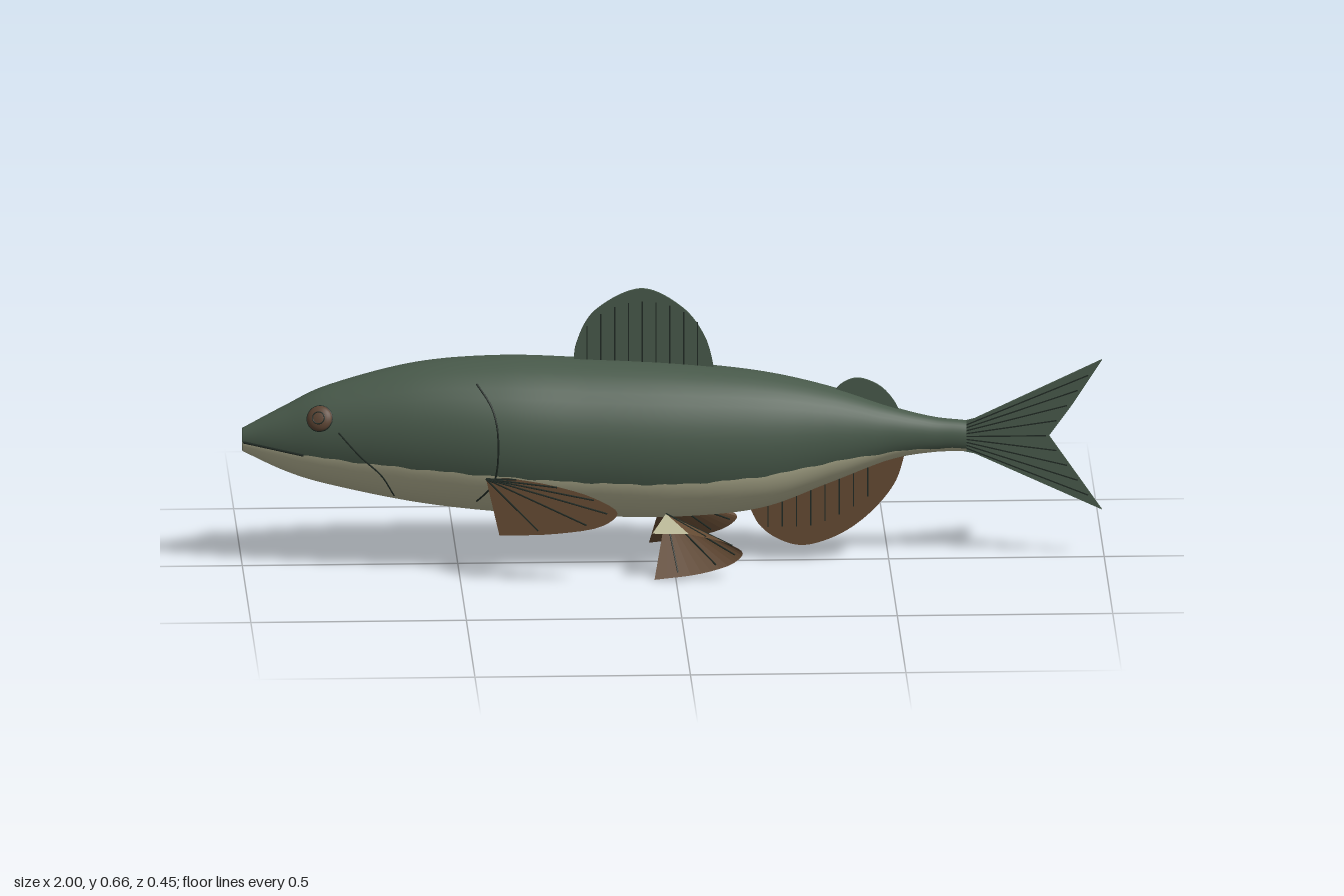
import * as THREE from 'three';

const mat = (name, color, side = THREE.FrontSide) => {
  const m = new THREE.MeshStandardMaterial({ color, side });
  m.name = name;
  return m;
};

const V = (x, y, z = 0) => new THREE.Vector3(x, y, z);

// Body stations: x, top, bottom, half width, height of the colour seam
const STATIONS = [
  [-1.0, 0.335, 0.28, 0.02, 0.308], [-0.9, 0.388, 0.232, 0.055, 0.292],
  [-0.8, 0.435, 0.2, 0.085, 0.28], [-0.6, 0.486, 0.157, 0.13, 0.265],
  [-0.4, 0.5, 0.132, 0.156, 0.25], [-0.2, 0.492, 0.12, 0.155, 0.233],
  [0.0, 0.48, 0.115, 0.146, 0.225], [0.2, 0.457, 0.133, 0.122, 0.236],
  [0.36, 0.42, 0.19, 0.085, 0.258], [0.5, 0.372, 0.243, 0.047, 0.27],
  [0.6, 0.345, 0.26, 0.03, 0.274], [0.68, 0.335, 0.262, 0.025, 0.272],
];
const heights = new THREE.CatmullRomCurve3(STATIONS.map(s => V(s[0], s[1], s[2])), false, 'catmullrom');
const widths = new THREE.CatmullRomCurve3(STATIONS.map(s => V(s[0], s[3], s[4])), false, 'catmullrom');

// Cross-section at a given x
function section(x) {
  let lo = 0, hi = 1;
  for (let k = 0; k < 30; k++) {
    const mid = (lo + hi) / 2;
    if (heights.getPoint(mid).x < x) lo = mid; else hi = mid;
  }
  const h = heights.getPoint(lo), w = widths.getPoint(lo);
  return { cy: (h.y + h.z) / 2, ry: (h.y - h.z) / 2, w: w.y, seam: w.z };
}

// Point on the flank
function onFlank(x, y, side) {
  const s = section(x), v = (y - s.cy) / s.ry;
  return V(x, y, side * s.w * Math.sqrt(Math.max(0, 1 - v * v)));
}

// One smooth skin, split along the seam into back and belly groups
function bodyGeometry() {
  const rings = 100, half = 26, n = half * 2, pos = [], idx = [];
  for (let i = 0; i <= rings; i++) {
    const x = -1 + 1.68 * i / rings, s = section(x);
    const ripple = 0.0025 * Math.sin(x * 70) * Math.sin(x * 23);
    const a = Math.asin(THREE.MathUtils.clamp((s.seam + ripple - s.cy) / s.ry, -0.95, 0.95));
    for (let j = 0; j < n; j++) {
      const t = j < half
        ? a + (Math.PI - 2 * a) * j / half
        : Math.PI - a + (Math.PI + 2 * a) * (j - half) / half;
      pos.push(x, s.cy + s.ry * Math.sin(t), s.w * Math.cos(t));
    }
  }
  for (const start of [0, half])
    for (let i = 0; i < rings; i++)
      for (let j = start; j < start + half; j++) {
        const a = i * n + j, b = i * n + (j + 1) % n;
        idx.push(a, a + n, b, b, a + n, b + n);
      }
  const g = new THREE.BufferGeometry();
  g.setAttribute('position', new THREE.Float32BufferAttribute(pos, 3));
  g.setIndex(idx);
  g.computeVertexNormals();
  g.addGroup(0, idx.length / 2, 0);
  g.addGroup(idx.length / 2, idx.length / 2, 1);
  return g;
}

// Flat fan of triangles from an apex to a rim
function fanGeometry(apex, rim) {
  const pos = [];
  for (let i = 0; i < rim.length - 1; i++)
    for (const p of [apex, rim[i], rim[i + 1]]) pos.push(p.x, p.y, p.z);
  const g = new THREE.BufferGeometry();
  g.setAttribute('position', new THREE.Float32BufferAttribute(pos, 3));
  g.computeVertexNormals();
  return g;
}

// Smooth open outline closed by a straight base, extruded thin
function medianFin(points) {
  const shape = new THREE.Shape();
  shape.moveTo(...points[0]);
  shape.splineThru(points.slice(1).map(p => new THREE.Vector2(...p)));
  shape.closePath();
  const g = new THREE.ExtrudeGeometry(shape, { depth: 0.007, bevelEnabled: false, curveSegments: 32 });
  return g.translate(0, 0, -0.0035);
}

export function createModel() {
  const green = mat('back green', 0x48594a);
  const cream = mat('belly cream', 0xb9b797, THREE.DoubleSide);
  const brown = mat('fin brown', 0x644a33, THREE.DoubleSide);
  const dark = mat('line dark', 0x202a24);
  const iris = mat('eye brown', 0x5c4433);

  const root = new THREE.Group();
  root.name = 'fish';
  const add = (name, geo, material, parent = root) => {
    const m = new THREE.Mesh(geo, material);
    m.name = name;
    parent.add(m);
    return m;
  };
  const line = (name, pts, r, parent = root) =>
    add(name, new THREE.TubeGeometry(new THREE.CatmullRomCurve3(pts), pts.length > 2 ? 24 : 1, r, 5), dark, parent);

  // Body and its end caps
  add('body', bodyGeometry(), [green, cream]);
  for (const [name, x, dir] of [['noseCap', -1, -1], ['tailStubCap', 0.68, 1]]) {
    const s = section(x);
    const cap = new THREE.CircleGeometry(1, 32).scale(s.w, s.ry, 1).rotateY(dir * Math.PI / 2);
    add(name, cap.translate(x, s.cy, 0), dir > 0 ? cream : green);
  }

  // Fins on the centre line
  add('dorsalFin', medianFin([[-0.23, 0.46], [-0.225, 0.53], [-0.18, 0.61], [-0.075, 0.66],
    [0.02, 0.615], [0.075, 0.54], [0.098, 0.45]]), green);
  add('adiposeFin', medianFin([[0.36, 0.39], [0.39, 0.426], [0.43, 0.44], [0.48, 0.42],
    [0.515, 0.38], [0.53, 0.34]]), green);
  add('analFin', medianFin([[0.17, 0.15], [0.2, 0.09], [0.25, 0.053], [0.31, 0.041], [0.39, 0.068],
    [0.46, 0.12], [0.515, 0.19], [0.54, 0.27]]), brown);
  const tail = new THREE.Shape([[0.66, 0.33], [0.7, 0.34], [0.995, 0.478], [0.925, 0.37], [0.872, 0.297],
    [0.925, 0.22], [0.995, 0.118], [0.7, 0.256], [0.66, 0.265]].map(p => new THREE.Vector2(...p)));
  add('tailFin', new THREE.ExtrudeGeometry(tail, { depth: 0.007, bevelEnabled: false }).translate(0, 0, -0.0035), green);

  // Fin rays, shown on both faces
  const ray = (name, x0, y0, x1, y1) => {
    const len = Math.hypot(x1 - x0, y1 - y0);
    const g = new THREE.BoxGeometry(len, 0.003, 0.0085).rotateZ(Math.atan2(y1 - y0, x1 - x0));
    add(name, g.translate((x0 + x1) / 2, (y0 + y1) / 2, 0), dark);
  };
  for (let i = 0; i < 9; i++) {
    const x = -0.2 + i * 0.032, u = (x + 0.07) / 0.165;
    ray('dorsalRay', x, 0.47, x, 0.48 + 0.15 * Math.sqrt(Math.max(0, 1 - u * u)));
  }
  for (let i = 0; i < 8; i++) {
    const x = 0.22 + i * 0.033;
    ray('analRay', x, 0.24, x, 0.085 + 1.6 * Math.max(0, x - 0.3) ** 1.65);
  }
  for (let i = -4; i <= 4; i++) {
    const u = Math.abs(i) / 4.5;
    ray('tailRay', 0.68, 0.297 + i * 0.007, 0.865 + 0.11 * u, 0.297 + i * 0.036);
  }

  // Paired parts
  for (const side of [1, -1]) {
    const pair = new THREE.Group();
    pair.name = side > 0 ? 'leftSide' : 'rightSide';
    root.add(pair);

    // Pectoral fin: a fan leaning out from the flank
    const lean = (x, y) => V(x, y, side * (0.145 + 0.245 * (x + 0.43) + 0.16 * (0.24 - y)));
    const rim = new THREE.CatmullRomCurve3([[-0.41, 0.116], [-0.28, 0.127], [-0.17, 0.152], [-0.138, 0.182],
      [-0.19, 0.213], [-0.29, 0.238], [-0.39, 0.25]].map(p => lean(...p))).getPoints(24);
    const shoulder = lean(-0.44, 0.245);
    add('pectoralFin', fanGeometry(shoulder, rim), brown, pair);
    for (let i = 3; i < 24; i += 4)
      line('pectoralRay', [shoulder, shoulder.clone().lerp(rim[i], 0.93)], 0.002, pair);

    // Pelvic fin: a conical fan with a pale upper web
    const hip = V(-0.02, 0.14, side * 0.08);
    const edge = new THREE.CatmullRomCurve3([[-0.05, 0.004], [0.06, 0.018], [0.135, 0.043], [0.155, 0.066],
      [0.12, 0.089], [0.03, 0.113]].map(p => V(p[0], p[1], side * 0.163))).getPoints(20);
    add('pelvicFin', fanGeometry(hip, edge), brown, pair);
    add('pelvicWeb', fanGeometry(hip, [edge[20], V(-0.055, 0.115, side * 0.163)]), cream, pair);
    for (let i = 2; i < 20; i += 4)
      line('pelvicRay', [hip, hip.clone().lerp(edge[i], 0.93)], 0.002, pair);

    // Eye with a dark rim and pupil
    const eye = new THREE.Group();
    eye.name = 'eye';
    eye.position.copy(onFlank(-0.823, 0.374, side));
    eye.lookAt(eye.position.clone().add(V(-0.3, 0.45, side)));
    pair.add(eye);
    add('iris', new THREE.SphereGeometry(0.03, 24, 16).scale(1, 1, 0.45), iris, eye);
    add('eyeRim', new THREE.TorusGeometry(0.029, 0.0025, 6, 32), dark, eye);
    add('pupilRing', new THREE.TorusGeometry(0.014, 0.0015, 6, 24).translate(0, 0, 0.0118), dark, eye);

    // Gill, cheek and mouth lines
    const trace = pts => new THREE.SplineCurve(pts.map(p => new THREE.Vector2(...p)))
      .getPoints(12).map(p => onFlank(p.x, p.y, side));
    line('gillLine', trace([[-0.46, 0.46], [-0.425, 0.41], [-0.412, 0.34], [-0.42, 0.24], [-0.46, 0.18]]), 0.0025, pair);
    line('cheekLine', trace([[-0.78, 0.345], [-0.73, 0.29], [-0.68, 0.242], [-0.65, 0.185]]), 0.002, pair);
    line('mouthLine', trace([[-0.998, 0.306], [-0.93, 0.296], [-0.86, 0.285]]), 0.003, pair);
  }
  return root;
}
